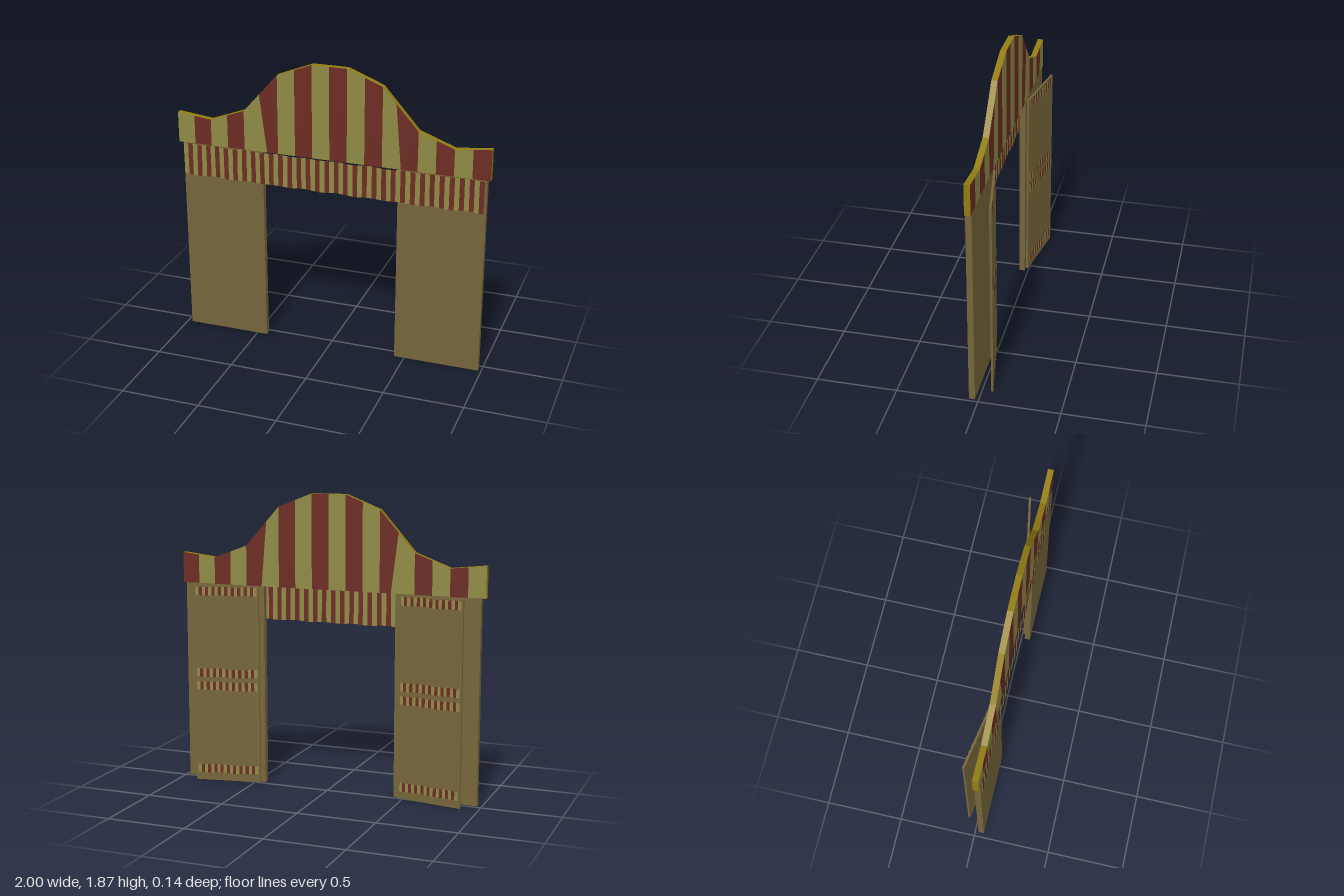
import * as THREE from 'three';

const paint = (color, side = THREE.FrontSide) =>
  new THREE.MeshStandardMaterial({ color, side, flatShading: true });

export function createModel() {
  const root = new THREE.Group();
  root.name = 'stripedArchway';
  const wood = paint(0x75653a);
  const gold = paint(0x927c12);
  const stripes = [paint(0x8f8a45), paint(0x6c2c24)];
  const cloth = [paint(0x8f8a45, THREE.DoubleSide), paint(0x6c2c24, THREE.DoubleSide)];

  const box = (name, w, h, d, x, y, z, parent = root) => {
    const mesh = new THREE.Mesh(new THREE.BoxGeometry(w, h, d), wood);
    mesh.name = name;
    mesh.position.set(x, y, z);
    parent.add(mesh);
  };

  // Thin rippled cloth band made of alternating stripes
  const band = (name, x0, x1, y0, y1, z, count, ripple, parent) => {
    const group = new THREE.Group();
    group.name = name;
    const w = (x1 - x0) / count;
    for (let i = 0; i < count; i++) {
      const geo = new THREE.PlaneGeometry(w, y1 - y0, 1, 2);
      geo.translate(x0 + (i + 0.5) * w, (y0 + y1) / 2, z);
      const p = geo.attributes.position;
      for (let k = 0; k < p.count; k++) {
        const x = p.getX(k), y = p.getY(k);
        p.setZ(k, z + ripple * Math.sin(x * 23 + y * 9));
        p.setY(k, y + ripple * Math.sin(x * 31));
      }
      geo.computeVertexNormals();
      const mesh = new THREE.Mesh(geo, cloth[i % 2]);
      mesh.name = 'clothStripe';
      group.add(mesh);
    }
    parent.add(group);
  };

  // Header board: curved top, cut into vertical stripes
  const heights = [1.475, 1.45, 1.533, 1.785, 1.872, 1.872, 1.785, 1.533, 1.45, 1.475];
  const topAt = (x) => {
    const t = Math.min(Math.max((x + 1) * 4.5, 0), 9);
    const i = Math.min(Math.floor(t + 1e-6), 8);
    return THREE.MathUtils.lerp(heights[i], heights[i + 1], t - i);
  };
  const header = new THREE.Group();
  header.name = 'header';
  const edge = (i) => -1 + i / 9;
  // two stripe joints lean slightly at the bottom
  const foot = (i) => (i === 5 ? -0.405 : i === 13 ? 0.452 : edge(i));
  const head = (i) => (i === 5 ? -0.452 : i === 13 ? 0.417 : edge(i));
  for (let i = 0; i < 18; i++) {
    const shape = new THREE.Shape([
      new THREE.Vector2(foot(i), 1.28),
      new THREE.Vector2(foot(i + 1), 1.28),
      new THREE.Vector2(head(i + 1), topAt(head(i + 1))),
      // keeps the bend of the outline where a stripe spans it
      ...(i === 12 ? [new THREE.Vector2(edge(12.5), topAt(edge(12.5)))] : []),
      new THREE.Vector2(head(i), topAt(head(i))),
    ]);
    const geo = new THREE.ExtrudeGeometry(shape, { depth: 0.037, bevelEnabled: false });
    const mesh = new THREE.Mesh(geo, [stripes[i % 2], gold]);
    mesh.name = 'headerStripe';
    mesh.position.z = 0.022;
    header.add(mesh);
  }
  root.add(header);

  // Valance hanging in front, below the header
  band('valance', -0.967, 0.967, 1.068, 1.276, 0.064, 64, 0.003, root);

  // Front panels either side of the opening
  box('rightPanel', 0.535, 1.28, 0.037, -0.7025, 0.64, 0.0405);
  box('leftPanel', 0.545, 1.28, 0.037, 0.7075, 0.64, 0.0405);

  // Doors folded open behind the panels, with cloth trim on the back
  for (const s of [-1, 1]) {
    const door = new THREE.Group();
    door.name = s > 0 ? 'leftDoor' : 'rightDoor';
    door.position.set(s * 0.468, 0, 0.013);
    door.rotation.y = s * 0.175;
    box('doorLeaf', 0.425, 1.278, 0.013, s * 0.2125, 0.639, 0, door);
    for (const y of [0.05, 0.6, 0.685, 1.215]) {
      const a = s * 0.2125 - 0.2, b = s * 0.2125 + 0.2;
      band('doorTrim', a, b, y, y + 0.055, -0.0095, 19, 0.002, door);
    }
    root.add(door);
  }
  return root;
}
